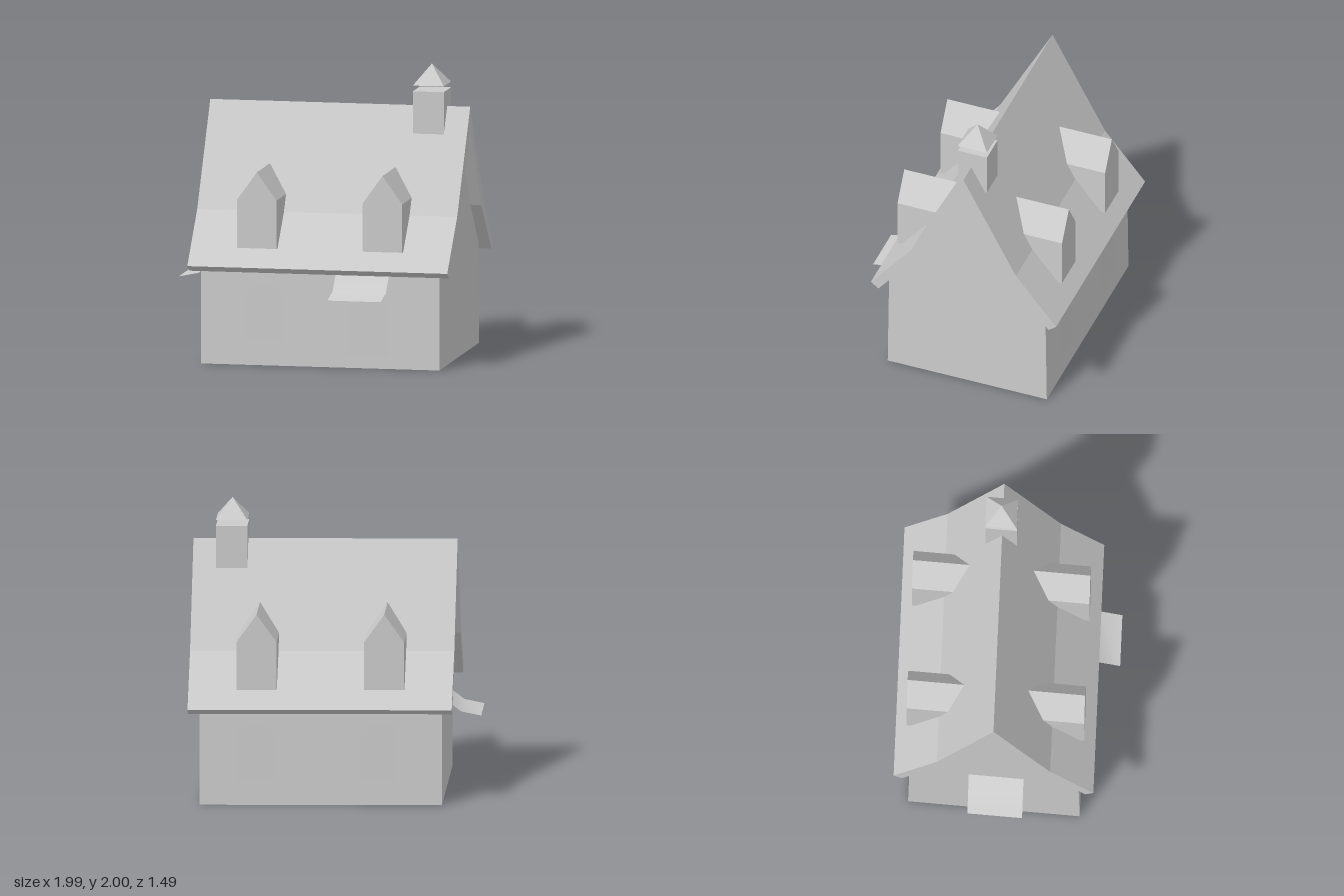
import * as THREE from 'three';

const MID = -0.07; // z of the ridge line
const LEFT = -0.753, RIGHT = 0.88; // gable wall planes
// The whole house is slightly skewed: x shifts with z
const SKEW = new THREE.Matrix4().set(1, 0, -0.052, 0, 0, 1, 0, 0, 0, 0, 1, 0, 0, 0, 0, 1);

const flat = new THREE.MeshStandardMaterial({ color: 0xcccccc, flatShading: true, side: THREE.DoubleSide });
const smooth = new THREE.MeshStandardMaterial({ color: 0xcccccc, side: THREE.DoubleSide });

// Closed shape from the right half of a symmetric outline, listed bottom to top
function symmetricShape(half) {
  const left = half.filter(([x]) => x > 0).map(([x, y]) => [-x, y]).reverse();
  return new THREE.Shape([...half, ...left].map(([x, y]) => new THREE.Vector2(x, y)));
}

// Panel with a chamfered arch top, standing on y = 0
function archPanel(w, h) {
  const a = w / 2;
  return new THREE.ShapeGeometry(symmetricShape([
    [a, 0], [a, h - a * 0.5], [a * 0.68, h - a * 0.18], [a * 0.38, h],
  ]));
}

// Curved awning: three rows following a [distance out, height] profile
function awning(width, profile) {
  const g = new THREE.PlaneGeometry(width, 1, 1, 2);
  const p = g.attributes.position;
  for (let i = 0; i < p.count; i++) {
    const [out, y] = profile[Math.floor(i / 2)];
    p.setY(i, y);
    p.setZ(i, out);
  }
  g.computeVertexNormals();
  return g;
}

// Gabled dormer whose back end is trimmed to the roof slope
function dormer() {
  const g = new THREE.ExtrudeGeometry(
    symmetricShape([[0.135, 0.8], [0.135, 1.13], [0, 1.32]]), { depth: 1, bevelEnabled: false });
  const p = g.attributes.position;
  for (let i = 0; i < p.count; i++) {
    const y = p.getY(i);
    const back = y < 0.9 ? 0.52 : y < 1.2 ? 0.31 : 0.21;
    p.setZ(i, p.getZ(i) > 0.5 ? 0.6 : back);
  }
  g.computeVertexNormals();
  return g;
}

export function createModel() {
  const house = new THREE.Group();
  house.name = 'house';

  const add = (name, geometry, material = flat) => {
    geometry.applyMatrix4(SKEW);
    const mesh = new THREE.Mesh(geometry, material);
    mesh.name = name;
    house.add(mesh);
  };

  // Gable walls
  const gable = symmetricShape([[0.58, 0], [0.57, 0.69], [0.325, 0.985], [0, 1.555]]);
  add('rightGableWall', new THREE.ShapeGeometry(gable).rotateY(Math.PI / 2).translate(RIGHT, 0, MID));
  add('leftGableWall', new THREE.ShapeGeometry(gable).rotateY(-Math.PI / 2).translate(LEFT, 0, MID));

  // Front and back walls, leaning in slightly
  for (const [name, turn] of [['frontWall', 0], ['backWall', Math.PI]]) {
    const g = new THREE.PlaneGeometry(RIGHT - LEFT, 0.69);
    const p = g.attributes.position;
    for (let i = 0; i < p.count; i++) p.setZ(i, p.getY(i) > 0 ? 0.57 : 0.58);
    add(name, g.rotateY(turn).translate((LEFT + RIGHT) / 2, 0.345, MID));
  }

  // Thick roof with a kink towards the eaves
  const outer = [[0.675, 0.678], [0.383, 1.02], [0, 1.71]];
  const inner = [[0.325, 0.985], [0.62, 0.638]];
  const flip = (pts) => pts.map(([x, y]) => [-x, y]);
  const outline = [
    ...outer, ...flip(outer.slice(0, 2)).reverse(),
    ...flip(inner).reverse(), [0, 1.555], ...inner,
  ].map(([x, y]) => new THREE.Vector2(x, y));
  add('roof', new THREE.ExtrudeGeometry(new THREE.Shape(outline), { depth: 1.78, bevelEnabled: false })
    .rotateY(Math.PI / 2).translate(-0.824, 0, MID));

  // Dormers, two on each slope
  for (const x of [-0.365, 0.495]) {
    add('frontDormer', dormer().translate(x, 0, MID));
    add('backDormer', dormer().rotateY(Math.PI).translate(x, 0, MID));
  }

  // Chimney with a floating pyramid cap
  add('chimney', new THREE.BoxGeometry(0.212, 0.29, 0.212).translate(0.692, 1.675, -0.077));
  add('chimneyCap', new THREE.ConeGeometry(0.15, 0.137, 4).rotateY(Math.PI / 4)
    .translate(0.692, 1.928, -0.077));

  // Front door and window
  add('frontDoor', archPanel(0.295, 0.445).translate(0.395, 0.08, 0.525));
  add('frontWindow', archPanel(0.255, 0.39).translate(-0.315, 0.165, 0.514));

  // Back windows
  for (const x of [0.505, -0.325]) {
    add('backWindow', archPanel(0.25, 0.39).rotateY(Math.PI).translate(x, 0.165, -0.654));
  }

  // Gable windows
  add('rightWindow', archPanel(0.265, 0.4).rotateY(Math.PI / 2).translate(RIGHT + 0.012, 0.16, MID));
  add('rightAtticWindow', archPanel(0.195, 0.3).rotateY(Math.PI / 2).translate(RIGHT + 0.008, 0.88, MID));
  add('leftAtticWindow', archPanel(0.195, 0.3).rotateY(-Math.PI / 2).translate(LEFT - 0.004, 0.88, MID));

  // Awnings over the front door and on the left gable
  add('frontAwning', awning(0.365, [[0.505, 0.63], [0.595, 0.53], [0.745, 0.495]])
    .translate(0.35, 0, 0), smooth);
  add('leftAwning', awning(0.37, [[0, 0.635], [0.105, 0.553], [0.24, 0.525]])
    .rotateY(-Math.PI / 2).translate(LEFT, 0, -0.055), smooth);

  return house;
}
